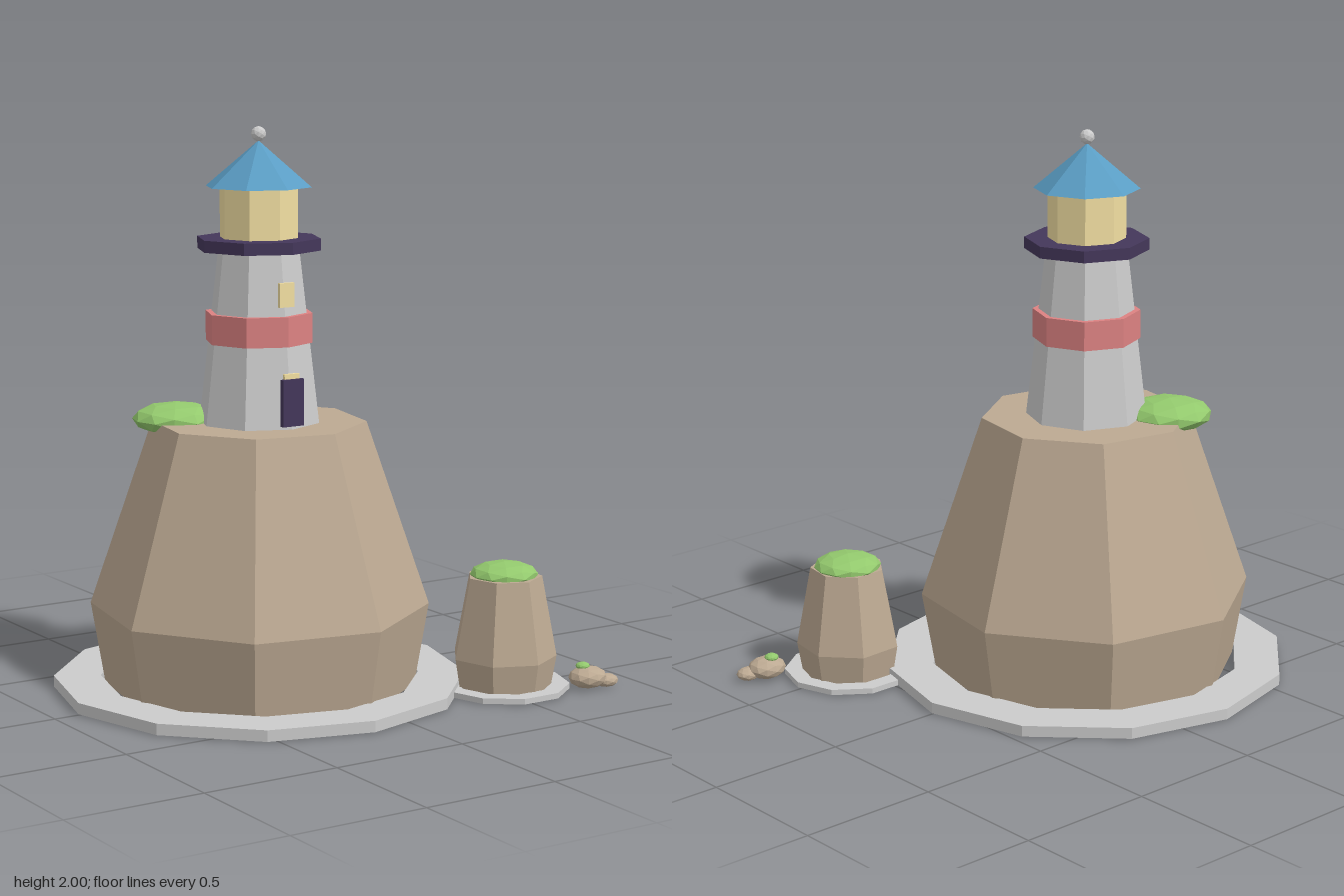
import * as THREE from 'three';

const mat = (color) => new THREE.MeshStandardMaterial({ color, flatShading: true });
const ROCK = mat(0xbca992), GREY = mat(0xcccccc), GRASS = mat(0x93c96d), DARK = mat(0x44375a),
  RED = mat(0xdc8282), GLOW = mat(0xf2dfa2), BLUE = mat(0x5a9dc4);

export function createModel() {
  const model = new THREE.Group();

  const add = (parent, name, geometry, material, x, y, z) => {
    const mesh = new THREE.Mesh(geometry, material);
    mesh.name = name;
    mesh.position.set(x, y, z);
    parent.add(mesh);
    return mesh;
  };

  // Faceted squashed lump for grass and stones
  const lump = (parent, name, material, x, y, z, rx, ry, rz = rx) =>
    add(parent, name, new THREE.IcosahedronGeometry(1, 1), material, x, y, z).scale.set(rx, ry, rz);

  // Closed faceted solid turned from [radius, height] points
  const turned = (points, sides, start = 0) =>
    new THREE.LatheGeometry(points.map(([r, y]) => new THREE.Vector2(r, y)), sides, start);

  // Rock stack with a flat foam ring around its foot
  const island = (name, x, z, profile, sides, turn, ring) => {
    const group = new THREE.Group();
    group.name = name;
    group.position.set(x, 0, z);
    add(group, 'rock', turned([[0, profile[0][1]], ...profile, [0, profile.at(-1)[1]]], sides, turn), ROCK, 0, 0, 0);
    const { inner, outer, height, count } = ring;
    add(group, 'foamRing', turned(
      [[inner, 0], [outer, 0], [outer, height], [inner, height], [inner, 0]], count, Math.PI / 2), GREY, 0, 0, 0);
    model.add(group);
  };
  island('mainIsland', -0.17, 0, [[0.555, 0.003], [0.605, 0.3], [0.38, 0.96]], 8, 0.2,
    { inner: 0.57, outer: 0.738, height: 0.04, count: 12 });
  island('smallIsland', 0.537, 0.51, [[0.17, 0.003], [0.19, 0.12], [0.135, 0.41]], 7, 0.06,
    { inner: 0.175, outer: 0.238, height: 0.02, count: 10 });

  // Grass caps
  lump(model, 'mainGrass', GRASS, -0.395, 0.962, -0.2, 0.155, 0.057);
  lump(model, 'smallGrass', GRASS, 0.54, 0.415, 0.505, 0.122, 0.045);

  // Loose stones by the shore
  lump(model, 'largeStone', ROCK, 0.795, 0.037, 0.67, 0.072, 0.04, 0.065);
  lump(model, 'smallStone', ROCK, 0.86, 0.022, 0.695, 0.045, 0.024, 0.04);
  lump(model, 'stoneMoss', GRASS, 0.782, 0.077, 0.657, 0.026, 0.014);

  // Eight-sided tower, listed as [name, bottom radius, top radius, bottom y, top y, material]
  const tower = new THREE.Group();
  tower.name = 'lighthouse';
  tower.position.x = -0.17;
  model.add(tower);
  [
    ['towerWall', 0.217, 0.145, 0.96, 1.58, GREY],
    ['redBand', 0.193, 0.193, 1.245, 1.35, RED],
    ['gallery', 0.222, 0.222, 1.57, 1.612, DARK],
    ['lanternRoom', 0.14, 0.14, 1.61, 1.795, GLOW],
    ['roof', 0.19, 0, 1.79, 1.95, BLUE],
  ].forEach(([name, r0, r1, y0, y1, material]) =>
    add(tower, name, new THREE.CylinderGeometry(r1, r0, y1 - y0, 8), material, 0, (y0 + y1) / 2, 0));
  lump(tower, 'finial', GREY, 0, 1.973, 0, 0.027, 0.027);

  // Door and windows on the front
  add(tower, 'door', new THREE.BoxGeometry(0.085, 0.165, 0.018), DARK, 0, 1.055, 0.218);
  for (const [y, z] of [[1.113, 0.21], [1.427, 0.18]])
    add(tower, 'window', new THREE.BoxGeometry(0.06, 0.085, 0.012), GLOW, 0, y, z);

  return model;
}
